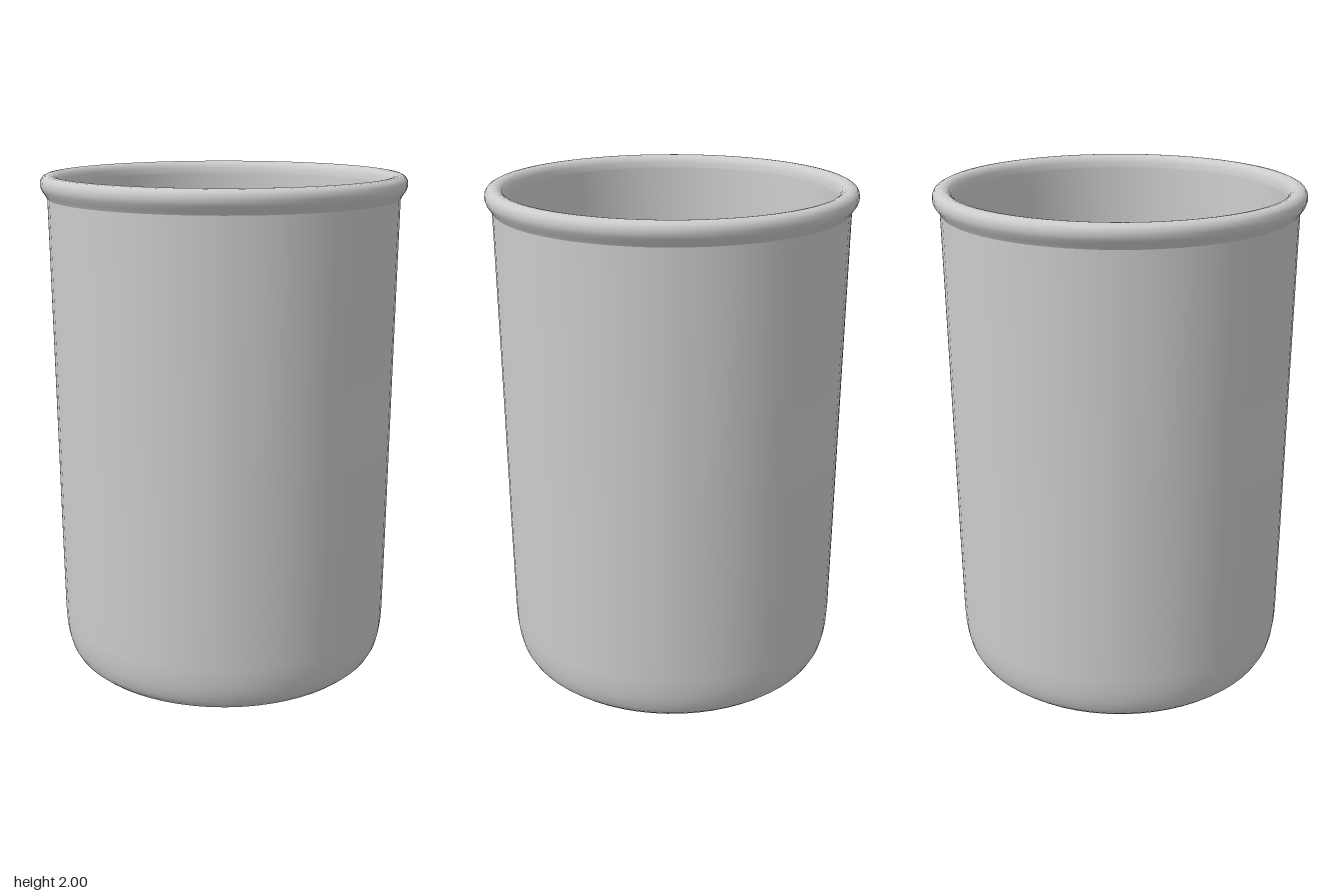
import * as THREE from 'three';

const porcelain = new THREE.MeshStandardMaterial({ color: 0xcccccc });
porcelain.name = 'light grey';

// Revolve a profile of [radius, height] pairs around the y axis
function lathe(name, profile) {
  const points = profile.map(([r, y]) => new THREE.Vector2(r, y));
  const mesh = new THREE.Mesh(new THREE.LatheGeometry(points, 64), porcelain);
  mesh.name = name;
  return mesh;
}

export function createModel() {
  const group = new THREE.Group();
  group.name = 'beaker';

  // Base with a very slight belly
  group.add(lathe('base', [[0, 0], [0.3, 0.004], [0.58, 0.01], [0.6, 0.012]]));

  // Outer wall: rounded foot, then a nearly straight side
  group.add(lathe('outerWall', [
    [0.6, 0.012], [0.622, 0.02], [0.642, 0.038], [0.657, 0.065], [0.667, 0.105],
    [0.673, 0.15], [0.676, 0.21], [0.679, 0.6], [0.682, 1.2], [0.686, 1.8], [0.687, 1.91],
  ]));

  // Rolled rim
  group.add(lathe('rim', [
    [0.687, 1.91], [0.695, 1.925], [0.707, 1.942], [0.713, 1.96], [0.711, 1.978],
    [0.703, 1.991], [0.69, 1.998], [0.676, 2], [0.661, 1.997], [0.648, 1.988],
    [0.64, 1.972], [0.637, 1.95],
  ]));

  // Inner wall, tapering down to a small fillet
  group.add(lathe('innerWall', [
    [0.637, 1.95], [0.632, 1.8], [0.622, 1.2], [0.612, 0.6], [0.606, 0.15],
    [0.603, 0.1], [0.597, 0.075], [0.585, 0.06],
  ]));

  // Flat inside floor
  group.add(lathe('floor', [[0.585, 0.06], [0, 0.06]]));

  return group;
}
